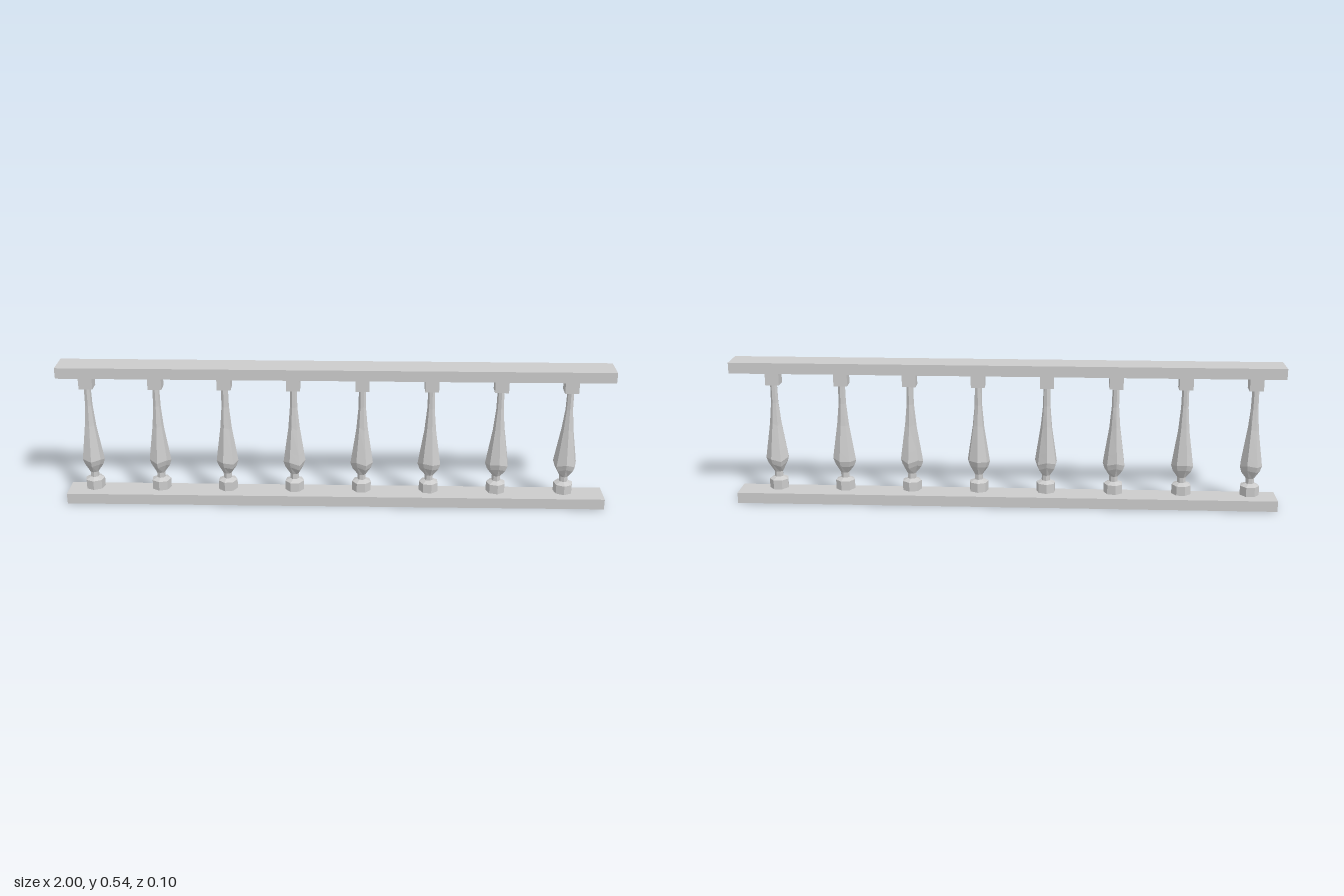
import * as THREE from 'three';

const material = new THREE.MeshStandardMaterial({ color: 0xcccccc, flatShading: true });

function box(name, w, h, d, x, y) {
  const mesh = new THREE.Mesh(new THREE.BoxGeometry(w, h, d), material);
  mesh.name = name;
  mesh.position.set(x, y, 0);
  return mesh;
}

// Radius and height from the foot up to the slender neck
const profile = [
  [0, 0.05], [0.036, 0.05], [0.036, 0.085], [0.016, 0.094], [0.016, 0.114],
  [0.036, 0.145], [0.043, 0.166], [0.037, 0.205], [0.022, 0.3], [0.014, 0.38],
  [0.013, 0.45], [0, 0.45],
].map(([r, y]) => new THREE.Vector2(r, y));

const SIDES = 7;

// Roughly carved, low-poly turned post; the belly differs a little on each post
function spindleGeometry(seed) {
  const geo = new THREE.LatheGeometry(profile, SIDES, seed * 0.77);
  const pos = geo.attributes.position;
  for (let i = 0; i < pos.count; i++) {
    const ring = i % profile.length;
    const side = Math.floor(i / profile.length) % SIDES;
    if (ring < 5 || ring > 8) continue;
    const wobble = Math.sin(side * 2.4 + seed * 1.7);
    pos.setY(i, pos.getY(i) + 0.007 * wobble);
    const s = 0.98 + 0.03 * Math.cos(side * 1.9 + seed);
    pos.setX(i, pos.getX(i) * s);
    pos.setZ(i, pos.getZ(i) * s);
  }
  geo.computeVertexNormals();
  return geo;
}

export function createModel() {
  const model = new THREE.Group();
  model.name = 'balustrade';

  // Long rails
  model.add(box('bottomRail', 2, 0.04, 0.1, 0, 0.02));
  model.add(box('topRail', 2, 0.04, 0.1, 0, 0.52));

  // Evenly spaced balusters with square cap blocks
  for (let i = 0; i < 8; i++) {
    const baluster = new THREE.Group();
    baluster.name = `baluster${i + 1}`;
    baluster.position.x = -0.9 + i * 0.25;
    const spindle = new THREE.Mesh(spindleGeometry(i), material);
    spindle.name = 'spindle';
    baluster.add(spindle, box('capBlock', 0.05, 0.05, 0.05, 0, 0.475));
    model.add(baluster);
  }
  return model;
}
